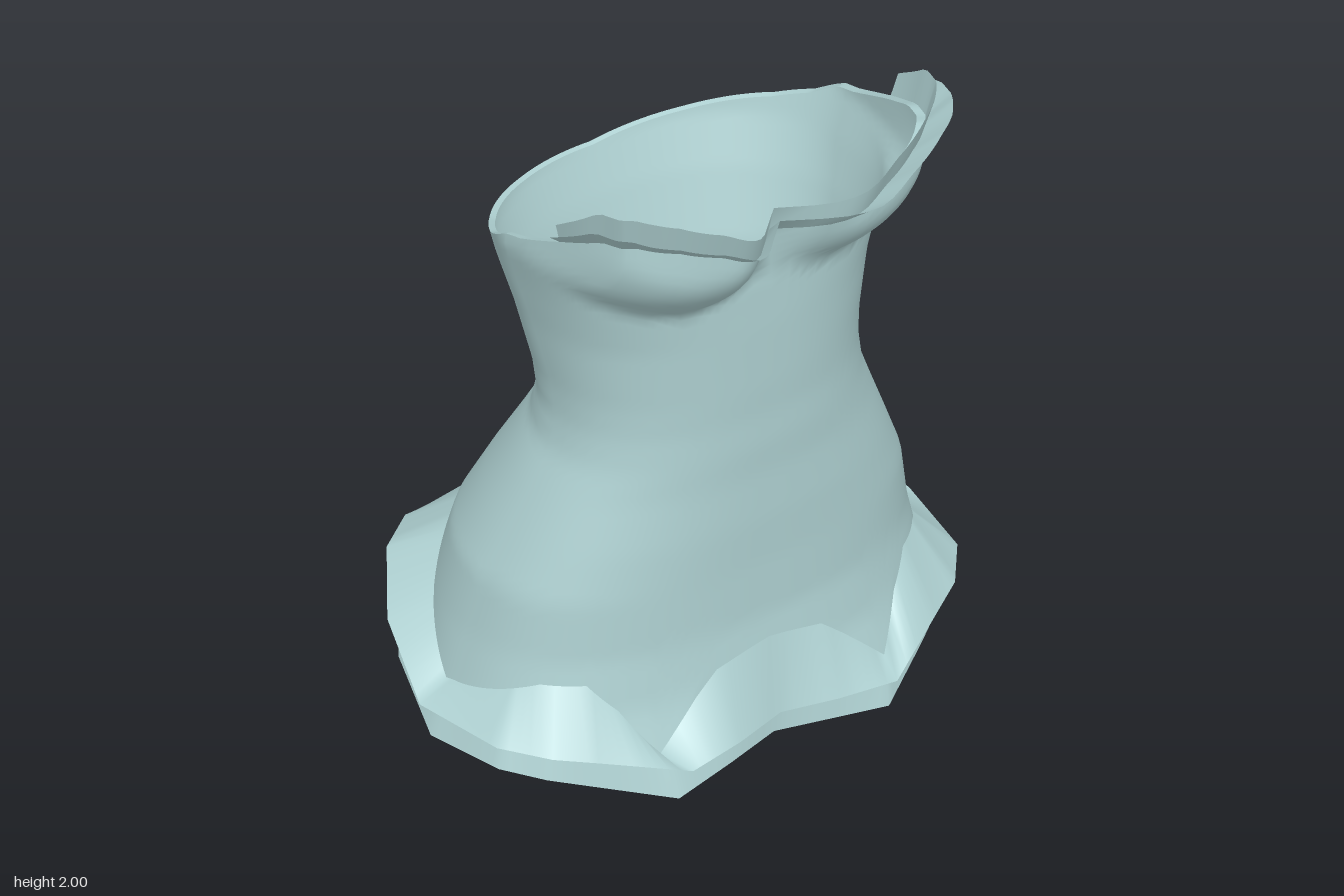
import * as THREE from 'three';

// Interpolate a key list [[k, v1, v2...], ...] linearly at k
function sample(keys, k) {
  let i = 1;
  while (i < keys.length - 1 && keys[i][0] < k) i++;
  const a = keys[i - 1], b = keys[i];
  const t = THREE.MathUtils.clamp((k - a[0]) / (b[0] - a[0]), 0, 1);
  return a.slice(1).map((v, j) => v + (b[j + 1] - v) * t);
}

// Body section by height: y, half width, front z, back z, centre z, front squareness
const SECTIONS = [
  [0.10, 0.77, 0.48, -0.57, -0.04, 0.80],
  [0.26, 0.74, 0.43, -0.57, -0.04, 0.80],
  [0.42, 0.70, 0.41, -0.56, -0.03, 0.80],
  [0.60, 0.665, 0.41, -0.51, 0.00, 0.80],
  [0.75, 0.60, 0.415, -0.43, 0.03, 0.82],
  [0.90, 0.535, 0.415, -0.34, 0.06, 0.85],
  [1.00, 0.49, 0.42, -0.285, 0.08, 0.85],
  [1.10, 0.475, 0.42, -0.255, 0.08, 0.85],
  [1.20, 0.48, 0.425, -0.28, 0.07, 0.85],
  [1.40, 0.515, 0.43, -0.335, 0.03, 0.80],
  [1.55, 0.55, 0.43, -0.385, 0.00, 0.70],
  [1.68, 0.585, 0.42, -0.40, 0.00, 0.65],
  [1.90, 0.57, 0.42, -0.42, 0.00, 0.65],
];
// Edge heights by angle from the front, in degrees
const TOP_EDGE = [[0, 1.71], [19, 1.82], [35, 1.865], [53, 1.885], [66, 1.87], [76, 1.81],
  [90, 1.71], [105, 1.645], [120, 1.61], [150, 1.575], [180, 1.55]];
const BOTTOM_EDGE = [[0, 0.35], [10, 0.315], [25, 0.13], [35, 0.27], [45, 0.355], [60, 0.355],
  [75, 0.31], [92.5, 0.26], [110, 0.38], [130, 0.54], [150, 0.53], [165, 0.48], [180, 0.42]];
// Ruffle hems: angle, x, y, z
const UPPER_HEM = [[0, 0, 0.125, 0.47], [10, 0.17, 0.12, 0.51], [25, 0.35, 0.115, 0.535],
  [45, 0.58, 0.17, 0.41], [57.5, 0.69, 0.195, 0.35], [70, 0.79, 0.21, 0.23], [92.5, 0.84, 0.22, -0.05],
  [112.5, 0.76, 0.33, -0.30], [127.5, 0.64, 0.43, -0.46], [142.5, 0.50, 0.42, -0.56],
  [160, 0.28, 0.33, -0.66], [180, 0, 0.36, -0.65]];
const LOWER_HEM = [[0, 0, 0.045, 0.44], [10, 0.17, 0.03, 0.47], [25, 0.36, 0.0, 0.485],
  [45, 0.56, 0.06, 0.37], [57.5, 0.67, 0.09, 0.30], [70, 0.76, 0.11, 0.20], [92.5, 0.81, 0.11, -0.04],
  [112.5, 0.73, 0.20, -0.29], [127.5, 0.61, 0.31, -0.44], [142.5, 0.48, 0.31, -0.54],
  [160, 0.27, 0.22, -0.635], [180, 0, 0.25, -0.62]];

// Point on the bodice surface at a signed angle and height
function bodyPoint(deg, y) {
  const [w, f, b, cz, p] = sample(SECTIONS, y);
  const a = THREE.MathUtils.degToRad(Math.abs(deg));
  const s = Math.max(0, Math.sin(a)), c = Math.cos(a);
  let x = w * s, z = cz + (cz - b) * c;
  if (c >= 0) {
    x = w * s ** p;
    z = cz + (f - cz) * c ** p;
    // Rounded cups with a centre cleft
    const crease = 1.54 + 1.1 * (x - 0.26) ** 2;
    const rise = THREE.MathUtils.clamp((y - crease) / 0.22, 0, 1);
    const across = Math.sin(Math.min(1, x / 0.23) * Math.PI / 2) * Math.min(1, c * 2);
    z += 0.17 * Math.sin(rise * Math.PI / 2) * across;
  }
  return new THREE.Vector3(Math.sign(deg) * x, y, z);
}

const edgePoint = (keys, deg) => bodyPoint(deg, sample(keys, Math.abs(deg))[0]);

// Skin rows of points, listed bottom to top
function skin(rows, closed) {
  const n = rows[0].length, index = [];
  for (let r = 0; r < rows.length - 1; r++) {
    for (let i = 0; i < (closed ? n : n - 1); i++) {
      const j = (i + 1) % n, a = r * n + i, b = r * n + j;
      index.push(a, b, b + n, a, b + n, a + n);
    }
  }
  const g = new THREE.BufferGeometry().setFromPoints(rows.flat());
  g.setIndex(index);
  g.computeVertexNormals();
  return g;
}

export function createModel() {
  const group = new THREE.Group();
  const cloth = new THREE.MeshStandardMaterial({ color: 0xafd1d2, side: THREE.DoubleSide });
  cloth.name = 'pale teal cloth';
  const add = (name, rows, closed) => {
    const mesh = new THREE.Mesh(skin(rows, closed), cloth);
    mesh.name = name;
    group.add(mesh);
  };

  const angles = Array.from({ length: 144 }, (_, i) => -180 + i * 2.5);

  // Bodice, from the pointed lower edge to the sweetheart neckline
  const ROWS = 48, body = [];
  for (let r = 0; r <= ROWS; r++) {
    body.push(angles.map((d) => {
      const lo = sample(BOTTOM_EDGE, Math.abs(d))[0], hi = sample(TOP_EDGE, Math.abs(d))[0];
      return bodyPoint(d, lo + (hi - lo) * r / ROWS);
    }));
  }
  add('bodice', body, true);

  // Narrow turned-in rim
  const rim = body[ROWS];
  add('rim', [rim, rim.map((p) => new THREE.Vector3(p.x * 0.965, p.y - 0.004, p.z * 0.965))], true);

  // Two flared ruffles hanging from the lower edge
  for (const [name, hem] of [['upperRuffle', UPPER_HEM], ['lowerRuffle', LOWER_HEM]]) {
    const low = angles.map((d) => {
      const [x, y, z] = sample(hem, Math.abs(d));
      return new THREE.Vector3(Math.sign(d) * x, y, z);
    });
    add(name, [low, angles.map((d) => edgePoint(BOTTOM_EDGE, d))], true);
  }

  // Two trim bands along the neckline: one flared outward, one nearly upright
  const front = Array.from({ length: 63 }, (_, i) => -77.5 + i * 2.5);
  for (const [name, out, up] of [['flaredTrim', 0.085, 0.075], ['uprightTrim', 0.035, 0.115]]) {
    const base = front.map((d) => edgePoint(TOP_EDGE, d));
    const lip = base.map((p, i) => {
      const d = Math.abs(front[i]);
      const [o, u] = sample([[0, 0.55, 0.7], [10, 0.95, 0.8], [45, 1, 1], [66, 0.75, 1], [77.5, 0.6, 0.6]], d);
      const dir = new THREE.Vector3(p.x, 0, p.z).normalize();
      return p.clone().addScaledVector(dir, out * o).add(new THREE.Vector3(0, up * u, 0));
    });
    add(name, [base, lip], false);
  }
  return group;
}
